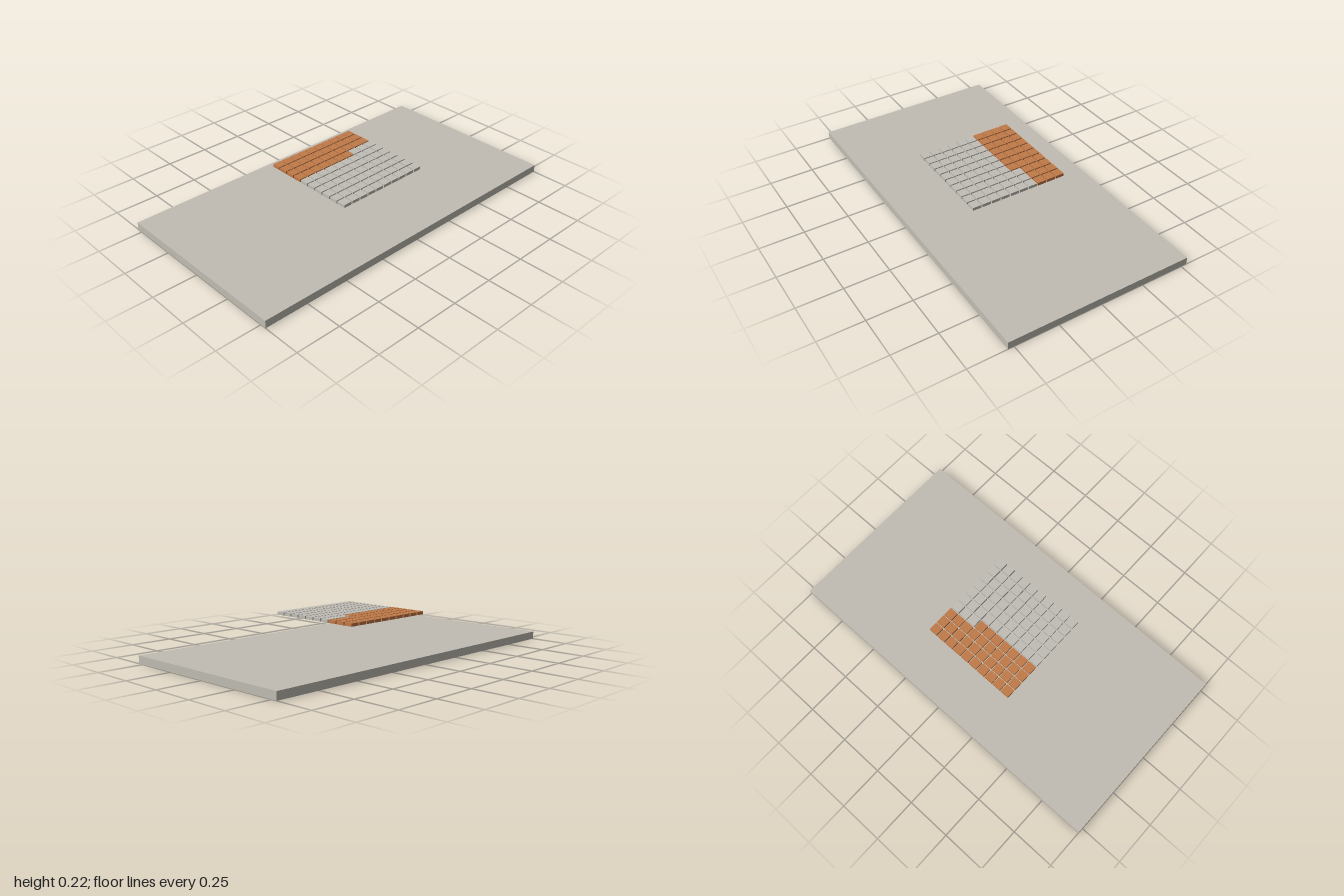
import * as THREE from 'three';

const COUNT = 10, PITCH = 0.057, TILE = 0.05, THICK = 0.017, FLOAT = 0.2;
const FILLED = 37; // tiles highlighted, counted row by row from the back

export function createModel() {
  const model = new THREE.Group();
  model.name = 'tileGridOverSlab';

  const stone = new THREE.MeshStandardMaterial({ color: 0xc1bdb3 });
  stone.name = 'warm stone';
  const pale = new THREE.MeshStandardMaterial({ color: 0xc1beb6 });
  pale.name = 'pale grey';
  const copper = new THREE.MeshStandardMaterial({ color: 0xc17a48 });
  copper.name = 'copper orange';

  // Base slab
  const slab = new THREE.Mesh(new THREE.BoxGeometry(2, 0.043, 1.067), stone);
  slab.name = 'baseSlab';
  slab.position.y = 0.0215;
  model.add(slab);

  // Floating ten by ten grid of tiles
  const grid = new THREE.Group();
  grid.name = 'tileGrid';
  grid.position.y = FLOAT + THICK / 2;
  model.add(grid);

  const tileGeometry = new THREE.BoxGeometry(TILE, THICK, TILE);
  const offset = (COUNT - 1) / 2;
  for (let i = 0; i < COUNT * COUNT; i++) {
    const row = Math.floor(i / COUNT), column = i % COUNT;
    const filled = i < FILLED;
    const tile = new THREE.Mesh(tileGeometry, filled ? copper : pale);
    tile.name = filled ? 'filledTile' : 'emptyTile';
    tile.position.set((column - offset) * PITCH, 0, (row - offset) * PITCH);
    grid.add(tile);
  }
  return model;
}
